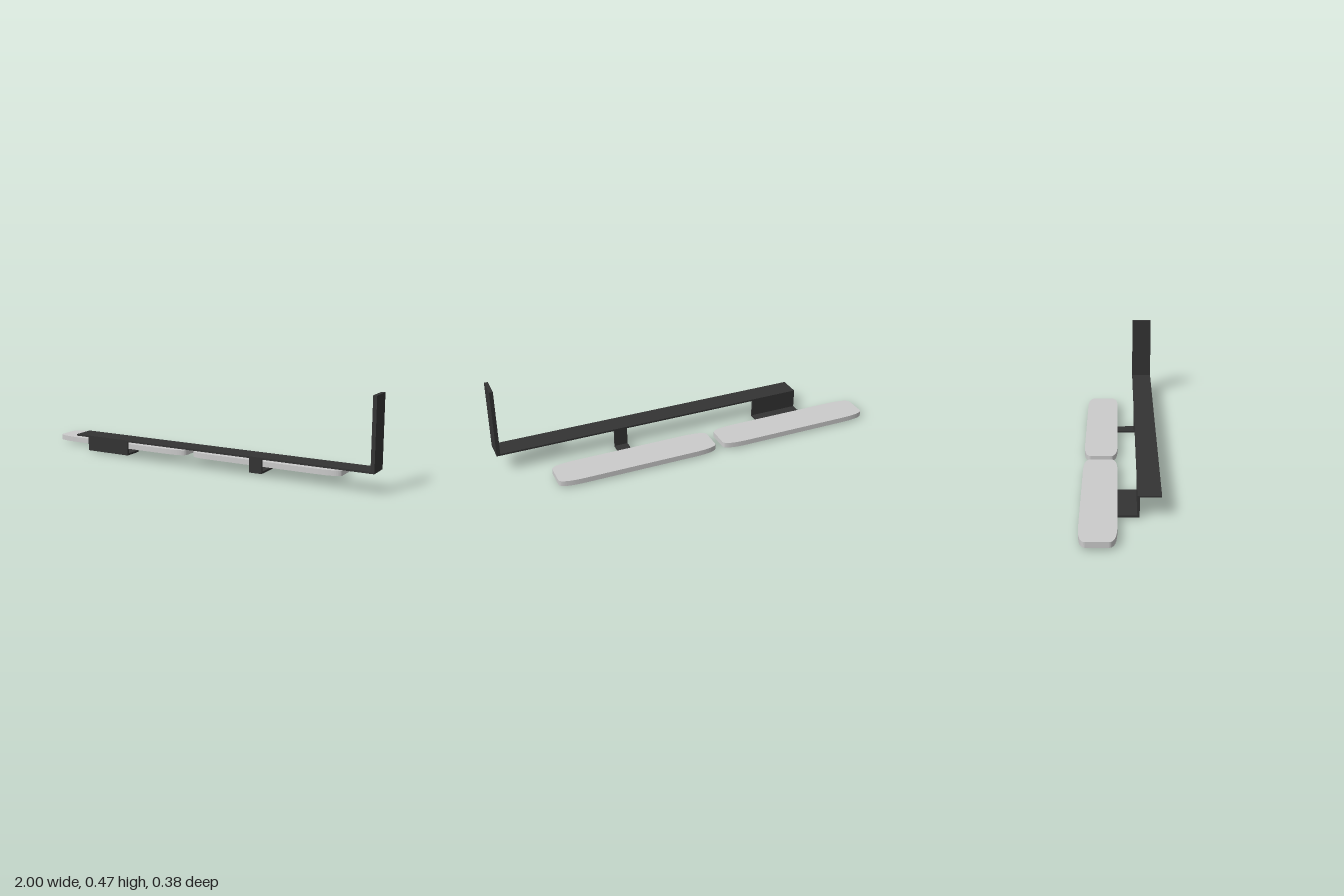
import * as THREE from 'three';

const dark = new THREE.MeshStandardMaterial({ color: 0x333333 });
const grey = new THREE.MeshStandardMaterial({ color: 0xcccccc });

// Box given by its minimum and maximum corners
function slab(name, [x0, y0, z0], [x1, y1, z1]) {
  const geo = new THREE.BoxGeometry(x1 - x0, y1 - y0, z1 - z0);
  geo.translate((x0 + x1) / 2, (y0 + y1) / 2, (z0 + z1) / 2);
  const mesh = new THREE.Mesh(geo, dark);
  mesh.name = name;
  return mesh;
}

// L-shaped bracket: wall below the shelf's rear edge, foot reaching back to a pad
function bracket(name, x0, x1, footEnd) {
  const s = new THREE.Shape();
  const pts = [[0.088, 0], [0.088, 0.103], [0.077, 0.103], [0.077, 0.01], [footEnd, 0.01], [footEnd, 0]];
  s.setFromPoints(pts.map(([z, y]) => new THREE.Vector2(-z, y)));
  const geo = new THREE.ExtrudeGeometry(s, { depth: x1 - x0, bevelEnabled: false });
  geo.rotateY(Math.PI / 2);
  geo.translate(x0, 0, 0);
  const mesh = new THREE.Mesh(geo, dark);
  mesh.name = name;
  return mesh;
}

// Flat pad with softly tapered corners
function pad(name, centreX) {
  const a = 0.428, b = 0.0875, cx = 0.14, cz = 0.036;
  const s = new THREE.Shape();
  s.moveTo(-a + cx, -b);
  s.lineTo(a - cx, -b);
  s.quadraticCurveTo(a, -b, a, -b + cz);
  s.lineTo(a, b - cz);
  s.quadraticCurveTo(a, b, a - cx, b);
  s.lineTo(-a + cx, b);
  s.quadraticCurveTo(-a, b, -a, b - cz);
  s.lineTo(-a, -b + cz);
  s.quadraticCurveTo(-a, -b, -a + cx, -b);
  const geo = new THREE.ExtrudeGeometry(s, { depth: 0.028, bevelEnabled: false, curveSegments: 12 });
  geo.rotateX(-Math.PI / 2);
  const mesh = new THREE.Mesh(geo, grey);
  mesh.position.set(centreX, 0.01, -0.1025);
  mesh.name = name;
  return mesh;
}

export function createModel() {
  const model = new THREE.Group();
  model.name = 'bracketedShelf';
  model.add(
    slab('shelfStrip', [-0.705, 0.102, 0.077], [1, 0.111, 0.19]),
    slab('endUpright', [0.981, 0.102, 0.077], [1, 0.466, 0.19]),
    bracket('wideBracket', -0.705, -0.44, -0.016),
    bracket('narrowBracket', 0.305, 0.376, -0.043),
    pad('rightPad', -0.572),
    pad('leftPad', 0.326)
  );
  return model;
}
